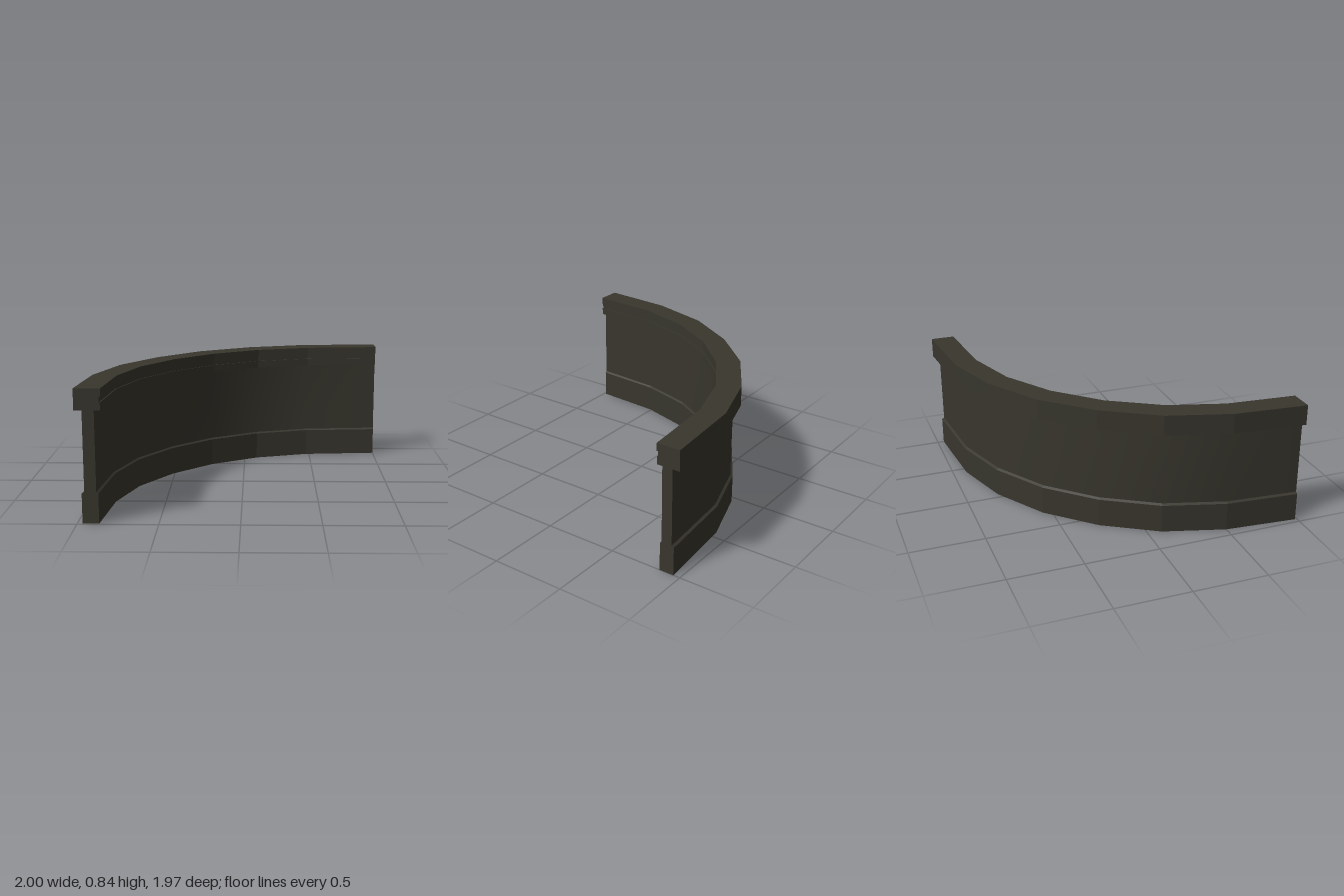
import * as THREE from 'three';

// Plan stations of the curve as [x, z], along the outer and inner edge of the coping
const OUTER = [[-1, 0.985], [-0.96, 0.495], [-0.838, 0.08], [-0.618, -0.28], [-0.33, -0.583], [0.03, -0.807], [0.435, -0.938], [1, -0.987]];
const INNER = [[-0.837, 0.985], [-0.8, 0.515], [-0.69, 0.147], [-0.49, -0.185], [-0.22, -0.46], [0.105, -0.663], [0.48, -0.782], [1, -0.828]];
const THICKNESS = 0.16;

// Sweeps a counter-clockwise profile of [depth from outer edge, height] along the curve
function sweep(name, profile, smooth, material) {
  const positions = [], index = [];
  const add = (station, [d, y]) => {
    const o = OUTER[station], i = INNER[station], t = d / THICKNESS;
    positions.push(o[0] + (i[0] - o[0]) * t, y, o[1] + (i[1] - o[1]) * t);
    return positions.length / 3 - 1;
  };

  // One strip per profile edge, so the profile's corners stay sharp
  profile.forEach((a, k) => {
    const b = profile[(k + 1) % profile.length];
    let previous = null;
    for (let s = 0; s < OUTER.length; s++) {
      const current = [add(s, a), add(s, b)];
      if (previous) {
        const [a0, b0] = previous, [a1, b1] = current;
        index.push(a0, a1, b1, a0, b1, b0);
      }
      previous = current;
    }
  });

  // End faces
  const faces = THREE.ShapeUtils.triangulateShape(profile.map(([d, y]) => new THREE.Vector2(d, y)), []);
  const start = profile.map((p) => add(0, p));
  const end = profile.map((p) => add(OUTER.length - 1, p));
  for (const [a, b, c] of faces) {
    index.push(start[a], start[b], start[c], end[a], end[c], end[b]);
  }

  let geometry = new THREE.BufferGeometry();
  geometry.setAttribute('position', new THREE.Float32BufferAttribute(positions, 3));
  geometry.setIndex(index);
  if (!smooth) geometry = geometry.toNonIndexed();
  geometry.computeVertexNormals();
  const mesh = new THREE.Mesh(geometry, material);
  mesh.name = name;
  return mesh;
}

export function createModel() {
  const stone = new THREE.MeshStandardMaterial({ color: 0x38362d });
  stone.name = 'dark stone';

  const group = new THREE.Group();
  group.name = 'curvedParapet';

  // Plinth with a small chamfer on its top edges
  group.add(sweep('plinth', [[0.032, 0], [0.132, 0], [0.132, 0.19], [0.12, 0.2], [0.048, 0.2], [0.032, 0.19]], false, stone));

  // Smooth wall panel
  group.add(sweep('wall', [[0.048, 0.2], [0.12, 0.2], [0.12, 0.705], [0.048, 0.705]], true, stone));

  // Coping with a groove along its inner side
  group.add(sweep('coping', [
    [0, 0.705], [0.157, 0.705], [0.157, 0.755], [0.15, 0.755],
    [0.15, 0.79], [0.16, 0.79], [0.16, 0.84], [0, 0.84],
  ], false, stone));

  return group;
}
